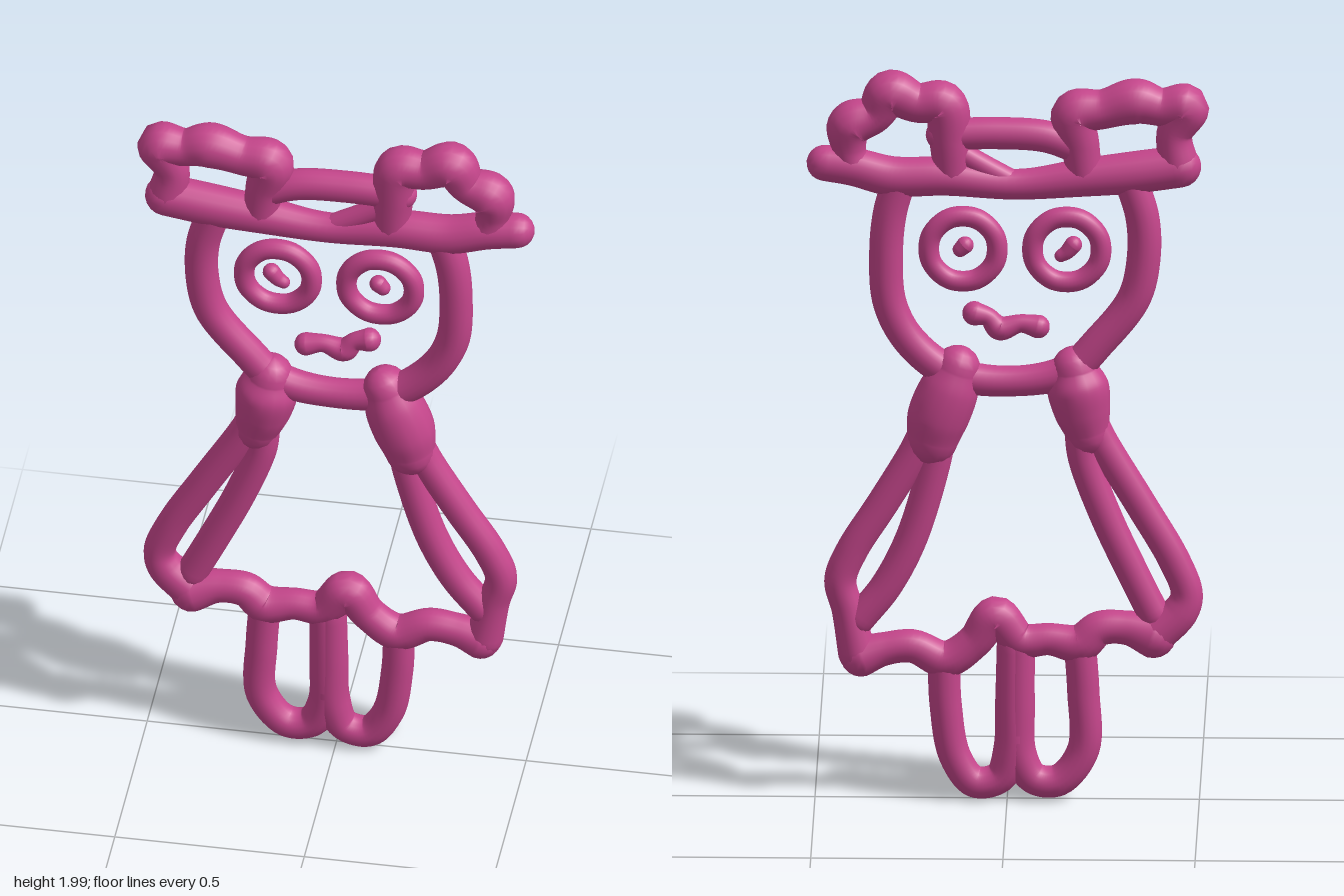
import * as THREE from 'three';

const pink = new THREE.MeshStandardMaterial({ color: 0xc6468c });
pink.name = 'pink';
const SIDES = 16, CAP = 5;

// Round strand in the x-y plane through [x, y, radius] points, with domed ends unless closed
function strandGeometry(points, closed) {
  const curve = new THREE.CatmullRomCurve3(points.map(p => new THREE.Vector3(...p)), closed, 'centripetal');
  const steps = points.length * 7;
  const rings = [];
  for (let i = 0; i < steps + (closed ? 0 : 1); i++) {
    const t = i / steps;
    const p = curve.getPoint(t), d = curve.getTangent(t);
    const len = Math.hypot(d.x, d.y) || 1;
    rings.push({ x: p.x, y: p.y, r: p.z, dx: d.x / len, dy: d.y / len });
  }
  if (!closed) {
    const dome = (e, sign) => Array.from({ length: CAP }, (_, k) => {
      const a = (k + 1) / CAP * Math.PI / 2, s = sign * Math.sin(a) * e.r;
      return { ...e, x: e.x + e.dx * s, y: e.y + e.dy * s, r: Math.max(e.r * Math.cos(a), 0.0005) };
    });
    const start = dome(rings[0], -1).reverse(), end = dome(rings[rings.length - 1], 1);
    rings.unshift(...start);
    rings.push(...end);
  }
  const pos = [], idx = [], n = rings.length;
  for (const g of rings) {
    for (let j = 0; j < SIDES; j++) {
      const a = j / SIDES * Math.PI * 2, c = Math.cos(a) * g.r;
      pos.push(g.x - g.dy * c, g.y + g.dx * c, Math.sin(a) * g.r);
    }
  }
  for (let i = 0; i < (closed ? n : n - 1); i++) {
    for (let j = 0; j < SIDES; j++) {
      const k = (j + 1) % SIDES, m = (i + 1) % n;
      const a = i * SIDES + j, b = i * SIDES + k, c = m * SIDES + j, d = m * SIDES + k;
      idx.push(a, b, c, b, d, c);
    }
  }
  const geo = new THREE.BufferGeometry();
  geo.setAttribute('position', new THREE.Float32BufferAttribute(pos, 3));
  geo.setIndex(idx);
  geo.computeVertexNormals();
  return geo;
}

export function createModel() {
  const model = new THREE.Group();
  model.name = 'doodleFigure';
  // Points without a radius use the default r
  const strand = (name, r, pts, closed = false) => {
    const mesh = new THREE.Mesh(strandGeometry(pts.map(p => [p[0], p[1], p[2] ?? r]), closed), pink);
    mesh.name = name;
    model.add(mesh);
  };

  // Face outline
  strand('headOutline', 0.044, [[-0.32, 1.71], [-0.352, 1.6], [-0.355, 1.49], [-0.33, 1.38], [-0.24, 1.26],
    [-0.16, 1.18], [-0.02, 1.15, 0.04], [0.14, 1.17], [0.25, 1.255], [0.305, 1.36], [0.315, 1.5], [0.305, 1.61], [0.28, 1.7]]);

  // Eyes and mouth
  for (const [side, x] of [['right', -0.155], ['left', 0.115]]) {
    const ring = [];
    for (let i = 0; i < 8; i++) {
      const a = (i + 0.5) / 8 * Math.PI * 2;
      ring.push([x + Math.cos(a) * 0.09, 1.512 + Math.sin(a) * 0.09]);
    }
    strand(side + 'EyeRing', 0.027, ring, true);
  }
  strand('rightPupil', 0.02, [[-0.172, 1.525, 0.023], [-0.155, 1.505], [-0.14, 1.495, 0.017]]);
  strand('leftPupil', 0.02, [[0.11, 1.522, 0.023], [0.122, 1.51, 0.02]]);
  strand('mouth', 0.028, [[-0.08, 1.3, 0.031], [-0.035, 1.308, 0.024], [0.02, 1.295, 0.032],
    [0.05, 1.325, 0.025], [0.085, 1.335, 0.032]]);

  // Hat brim and crown
  strand('hatBrim', 0.045, [[-0.45, 1.742, 0.055], [-0.33, 1.725, 0.055], [-0.2, 1.71, 0.05], [-0.02, 1.69, 0.04],
    [0.16, 1.71, 0.05], [0.3, 1.71, 0.052], [0.4, 1.735, 0.05], [0.475, 1.745, 0.047]]);
  strand('hatCrown', 0.042, [[-0.19, 1.79], [-0.1, 1.822], [0.03, 1.83], [0.17, 1.825]]);
  strand('hatFold', 0.03, [[-0.01, 1.7], [0.07, 1.745], [0.17, 1.805]]);

  // Knobbly bows
  strand('rightBow', 0.047, [[-0.445, 1.75, 0.053], [-0.435, 1.83], [-0.465, 1.905, 0.06], [-0.4, 1.905, 0.05],
    [-0.335, 1.92, 0.06], [-0.25, 1.898, 0.052], [-0.175, 1.885, 0.06], [-0.19, 1.8, 0.05], [-0.2, 1.72]]);
  strand('leftBow', 0.047, [[0.145, 1.72], [0.15, 1.81, 0.053], [0.165, 1.91, 0.058], [0.235, 1.912, 0.052],
    [0.305, 1.938, 0.061], [0.345, 1.88, 0.05], [0.408, 1.85, 0.06], [0.412, 1.785, 0.045], [0.4, 1.735]]);

  // Shoulders
  strand('rightShoulder', 0.08, [[-0.175, 1.185, 0.06], [-0.183, 1.14, 0.08], [-0.195, 1.07, 0.074], [-0.21, 1.01, 0.058]]);
  strand('leftShoulder', 0.08, [[0.13, 1.185, 0.06], [0.15, 1.13, 0.077], [0.18, 1.05, 0.08], [0.195, 0.99, 0.068]]);

  // Sleeves
  strand('rightSleeveOuter', 0.042, [[-0.22, 1.04], [-0.25, 0.98], [-0.35, 0.81], [-0.435, 0.66], [-0.467, 0.57],
    [-0.45, 0.52, 0.048], [-0.385, 0.46, 0.055]]);
  strand('rightSleeveInner', 0.042, [[-0.19, 1.02], [-0.2, 0.94], [-0.255, 0.785], [-0.325, 0.63], [-0.38, 0.515]]);
  strand('leftSleeveOuter', 0.042, [[0.21, 1.02], [0.24, 0.955], [0.325, 0.81], [0.405, 0.68], [0.434, 0.6],
    [0.415, 0.52], [0.39, 0.4, 0.05]]);
  strand('leftSleeveInner', 0.042, [[0.175, 1.0], [0.19, 0.92], [0.25, 0.715], [0.315, 0.585], [0.385, 0.495]]);

  // Wavy hem
  strand('skirtHem', 0.046, [[-0.38, 0.455, 0.06], [-0.31, 0.475, 0.045], [-0.24, 0.472], [-0.19, 0.432, 0.05],
    [-0.11, 0.442, 0.042], [-0.035, 0.44], [0.03, 0.505, 0.052], [0.085, 0.435], [0.16, 0.385, 0.048],
    [0.245, 0.42, 0.044], [0.32, 0.412, 0.044], [0.38, 0.392, 0.054]]);

  // Looped legs
  strand('rightLeg', 0.042, [[-0.19, 0.42], [-0.198, 0.3], [-0.198, 0.14], [-0.135, 0.056], [-0.07, 0.06],
    [-0.03, 0.13, 0.046], [-0.026, 0.26, 0.046], [-0.03, 0.43]]);
  strand('leftLeg', 0.042, [[-0.015, 0.43], [-0.015, 0.28, 0.046], [-0.012, 0.14, 0.048], [0.02, 0.062], [0.085, 0.05],
    [0.136, 0.12], [0.16, 0.26], [0.165, 0.39]]);

  return model;
}
